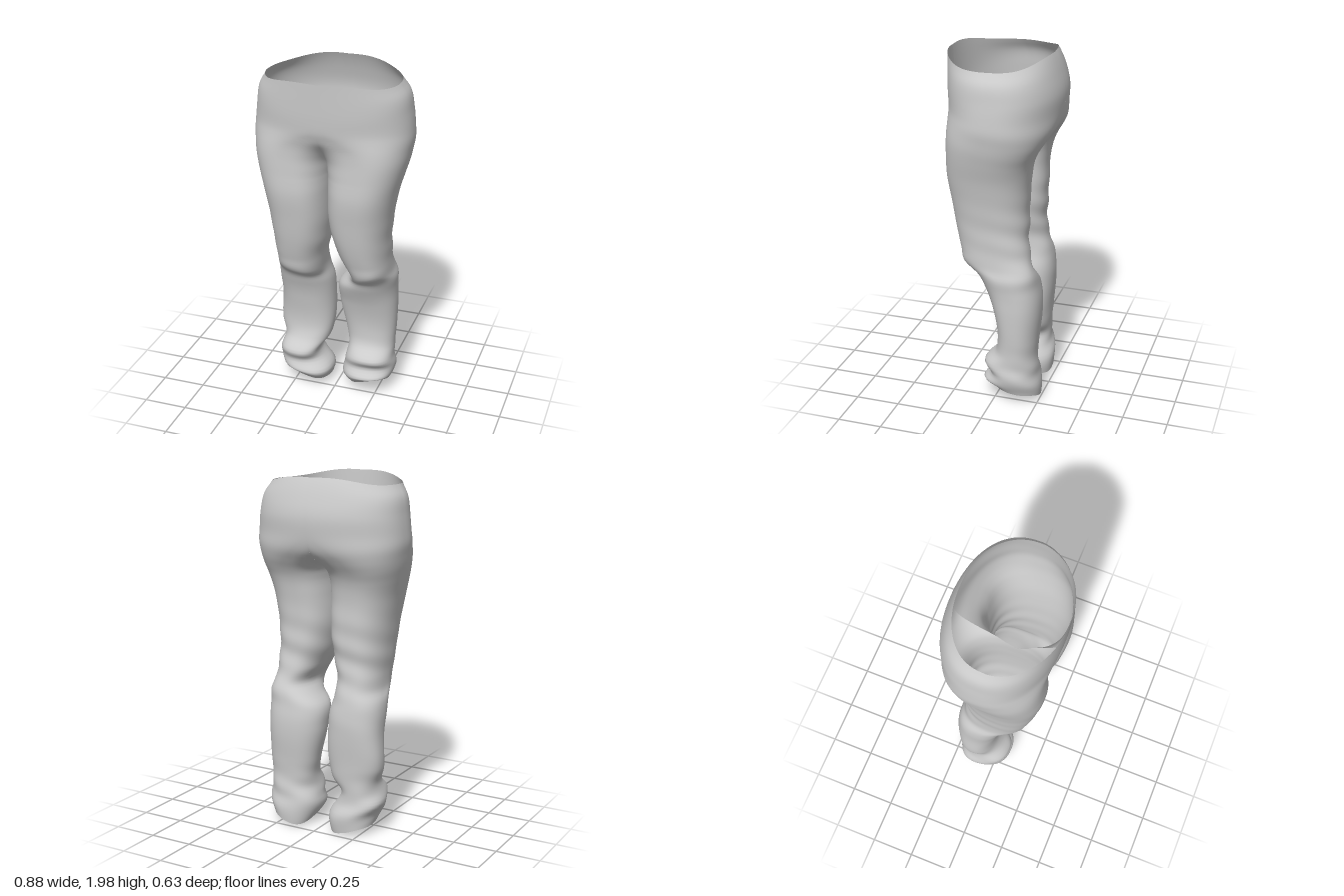
import * as THREE from 'three';
import { mergeVertices, mergeGeometries } from 'three/addons/utils/BufferGeometryUtils.js';

// Cross-sections from hem to waist: [height, outer x, inner x, front z, back z].
// A negative inner x means the two sides run together across the middle.
const rightLegRows = [
  [.06, .30, .05, .05, -.225], [.12, .315, .03, .085, -.23], [.19, .35, .085, .055, -.21],
  [.25, .335, .10, .09, -.2], [.32, .325, .055, .035, -.205], [.4, .35, .035, .01, -.21],
  [.6, .345, .03, .03, -.225], [.72, .345, .035, .065, -.22], [.79, .338, .05, .1, -.205],
  [.84, .318, .055, .17, -.195], [.93, .318, .045, .2, -.175], [1.05, .328, .018, .23, -.175],
  [1.2, .345, .002, .255, -.18],
];
const leftLegRows = [
  [.07, .31, .07, .03, -.25], [.13, .335, .035, .07, -.255], [.19, .34, .04, .035, -.24],
  [.25, .335, .06, .065, -.235], [.32, .33, .06, .005, -.23], [.4, .335, .045, -.01, -.235],
  [.6, .345, .008, .02, -.248], [.72, .345, .015, .065, -.238], [.79, .35, .08, .1, -.225],
  [.84, .335, .115, .17, -.21], [.93, .33, .07, .2, -.18], [1.05, .33, .028, .23, -.17],
  [1.2, .345, .002, .255, -.17],
];
const hipRows = [
  [1.35, .372, .001, .275, -.182], [1.46, .402, -.003, .272, -.202], [1.53, .42, -.025, .27, -.228],
  [1.59, .43, -.1, .272, -.26], [1.65, .438, -.26, .282, -.295], [1.71, .435, -.41, .295, -.312],
  [1.8, .425, -.425, .303, -.318], [1.9, .408, -.408, .308, -.292], [1.97, .37, -.37, .312, -.255],
];

const ROWS = 120, AROUND = 56;
const bump = (y, centre, width) => Math.exp(-(((y - centre) / width) ** 2));
const soft = (v, e) => Math.sign(v) * Math.abs(v) ** e;
const { lerp, smoothstep } = THREE.MathUtils;

// One side of the garment: half of the hips running down into a closed leg tube
function buildSide(side, legRows) {
  const rows = [...legRows, ...hipRows];
  const spline = new THREE.CubicInterpolant(rows.map(r => r[0]), rows.flatMap(r => r.slice(1)), 4);
  const bottom = rows[0][0], top = rows[rows.length - 1][0];
  const positions = [], index = [];

  for (let j = 0; j <= ROWS; j++) {
    const y = bottom + (top - bottom) * j / ROWS;
    const [xo, xi, zf, zb] = spline.evaluate(y);
    const cx = (xo + xi) / 2, rx = (xo - xi) / 2;
    const cz = (zf + zb) / 2, rz = (zf - zb) / 2;

    // Roundness: boxy legs with flat inner thighs, oval hips, a pointed waist front
    const hip = smoothstep(y, 1.45, 1.7), waist = smoothstep(y, 1.8, 1.97);
    const outer = lerp(.86, .95, hip);
    const inner = lerp(.86, .74, smoothstep(y, .85, 1.2));
    const front = lerp(.86, .95, hip) + .17 * waist;
    const back = lerp(.86, .84, hip);

    // How far the outline wraps past the centre line before meeting the other side
    const ratio = Math.min(1, Math.max(0, cx / rx));
    const wrap = xi >= 0 ? Math.PI / 2 : Math.asin(ratio ** (1 / inner));
    // Cloth folds: strongest round the cuffs and behind the knees
    const cuff = bump(y, .2, .12), knee = bump(y, .95, .22);

    for (let i = 0; i <= AROUND; i++) {
      const a = -wrap + (Math.PI + 2 * wrap) * i / AROUND;
      const ca = Math.cos(a), sa = Math.sin(a);
      const fold = 1
        + .025 * cuff * Math.sin(3 * a + y * 45 + side)
        + .025 * knee * (1 - ca) / 2 * Math.sin(2 * a * side + y * 42)
        + .015 * bump(y, .5, .2) * Math.sin(3 * a + side * y * 9);
      let x = cx + rx * soft(sa, sa < 0 ? inner : outer) * fold;
      const z = cz + rz * soft(ca, ca < 0 ? back : front) * fold;
      if (xi < 0 && (i === 0 || i === AROUND)) x = 0;
      const yy = y
        + .14 * z * bump(y, 1.58, .14)                                         // crotch lower at the back
        + (.042 * ca * ca - .014 + .004 * Math.sin(5 * a)) * bump(y, top, .06) // waist dips at the sides
        + (.03 * ca + .022 * sa + .008 * Math.sin(3 * a)) * bump(y, bottom, .05) // hem lifts at front and outside
        + .03 * sa * bump(y, .83, .06) * Math.max(0, ca);                      // slanted knee fold
      positions.push(side * x, yy, z);

      if (i < AROUND && j < ROWS) {
        const p = j * (AROUND + 1) + i, q = p + AROUND + 1;
        if (side > 0) index.push(p, p + 1, q + 1, p, q + 1, q);
        else index.push(p, q + 1, p + 1, p, q, q + 1);
      }
    }
  }
  const geometry = new THREE.BufferGeometry();
  geometry.setAttribute('position', new THREE.Float32BufferAttribute(positions, 3));
  geometry.setIndex(index);
  return geometry;
}

export function createModel() {
  const group = new THREE.Group();
  group.name = 'trousers';

  // Both sides are welded along the middle seam so the shading runs through
  const cloth = mergeVertices(mergeGeometries([buildSide(1, leftLegRows), buildSide(-1, rightLegRows)]), 1e-4);
  cloth.computeVertexNormals();
  cloth.computeBoundingBox();
  cloth.translate(0, -cloth.boundingBox.min.y, 0);

  const material = new THREE.MeshStandardMaterial({ color: 0xcccccc, side: THREE.DoubleSide });
  const mesh = new THREE.Mesh(cloth, material);
  mesh.name = 'trouserCloth';
  group.add(mesh);
  return group;
}
